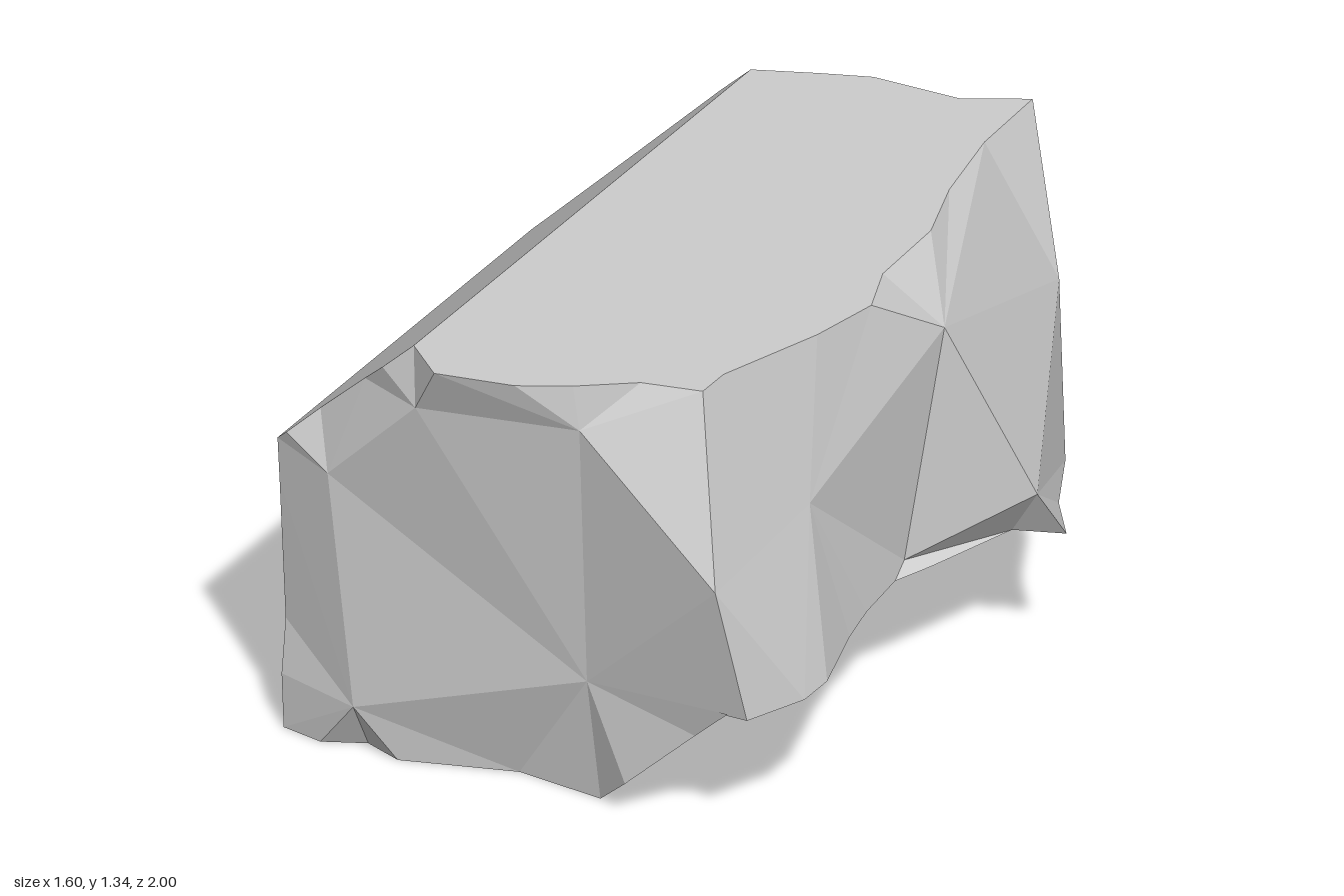
import * as THREE from 'three';

const V = (x, y, z) => new THREE.Vector3(x, y, z);

// Edges where the cut planes meet the rough faces
const top = [
  [-0.36, 0.91], [-0.24, 1], [-0.03, 0.94], [0.1, 0.86], [0.24, 0.75], [0.4, 0.7],
  [0.4, 0.6], [0.5, 0.3], [0.54, 0.1], [0.48, -0.05], [0.47, -0.3], [0.4, -0.5],
  [0.35, -0.75], [0.34, -1], [0.18, -0.9], [-0.07, -0.87], [-0.2, -0.81], [-0.36, -0.73],
].map(([x, z]) => V(x, 1.34, z));

const ledge = [
  [0.6, 0.8], [0.67, 0.63], [0.67, 0.52], [0.6, 0.3], [0.57, 0.17], [0.55, 0],
  [0.59, -0.11], [0.67, -0.38], [0.8, -0.44], [0.7, -0.56], [0.6, -0.75],
].map(([x, z]) => V(x, 0.45, z));

const base = [[-0.68, 0.86], [-0.57, 0.8], [-0.46, 0.83], [-0.16, 0.71], [0.09, 0.71], [-0.48, -0.12]]
  .map(([x, z]) => V(x, 0, z));

// Left cut: front edge downwards, then back edge upwards (y, z)
const side = [
  [0.9, 0.88], [0.77, 0.87], [0.33, 0.84], [0.17, 0.86], [0, 0.85],
  [0, -0.08], [0.26, -0.09], [0.3, -0.17], [0.43, -0.15], [0.59, -0.24], [0.73, -0.26], [0.9, -0.36],
].map(([y, z]) => V(-0.8, y, z));

// Upper bevel y = x + 1.7: front edge downwards, then back edge upwards (x, z)
const bevel = [
  [-0.45, 0.92], [-0.53, 0.88], [-0.68, 0.86], [-0.76, 0.9],
  [-0.76, -0.39], [-0.6, -0.55], [-0.45, -0.73],
].map(([x, z]) => V(x, x + 1.7, z));

// Lower slope y = x - 0.09: front edge upwards, then back edge downwards (y, z)
const slope = [
  [0.12, 0.78], [0.33, 0.77], [0.45, 0.8],
  [0.45, -0.71], [0.38, -0.65], [0.26, -0.65], [0.24, -0.34], [0.16, -0.2], [0.08, -0.1], [0, -0.06],
].map(([y, z]) => V(y + 0.09, y, z));

// Peaks and hollows of the rough faces
const f1 = V(-0.33, 1.18, 0.95), f2 = V(0.12, 1.21, 0.86), f3 = V(-0.62, 0.87, 0.92);
const f4 = V(-0.56, 0.16, 0.89), f5 = V(0.08, 0.38, 0.76), f6 = V(0.54, 0.85, 0.86);
const r1 = V(0.54, 0.89, 0.4), r2 = V(0.62, 1.18, -0.13), r3 = V(0.78, 0.62, -0.33);
const r4 = V(0.53, 0.94, -0.83), r5 = V(0.54, 0.48, -0.06);
const b1 = V(-0.66, 0.8, -0.39), b2 = V(-0.27, 1.15, -0.77), b3 = V(0.25, 0.48, -0.53);
const b4 = V(-0.08, 0.31, -0.1), b5 = V(-0.66, 0.22, -0.18);

const span = (list, from, to) => list.slice(from, to + 1);
const down = (list, from, to) => list.slice(to, from + 1).reverse();

// Triangles around a peak, anticlockwise from outside
const fan = (hub, ...ring) => ring.slice(1).flatMap((p, i) => [hub, ring[i], p]);

// Filled planar outline facing the given normal
function flat(normal, outline) {
  const turn = new THREE.Quaternion().setFromUnitVectors(normal.normalize(), V(0, 0, 1));
  const flatPoints = outline.map((p) => {
    const q = p.clone().applyQuaternion(turn);
    return new THREE.Vector2(q.x, q.y);
  });
  if (THREE.ShapeUtils.isClockWise(flatPoints)) {
    flatPoints.reverse();
    outline = [...outline].reverse();
  }
  return THREE.ShapeUtils.triangulateShape(flatPoints, []).flatMap(([a, b, c]) => {
    const n = new THREE.Triangle(outline[a], outline[b], outline[c]).getNormal(V(0, 0, 0));
    return n.dot(normal) > 0 ? [outline[a], outline[b], outline[c]] : [outline[a], outline[c], outline[b]];
  });
}

export function createModel() {
  const group = new THREE.Group();
  group.name = 'rock';
  const material = new THREE.MeshStandardMaterial({ color: 0xcccccc, flatShading: true });
  const add = (name, ...parts) => {
    const geometry = new THREE.BufferGeometry().setFromPoints(parts.flat());
    geometry.computeVertexNormals();
    const mesh = new THREE.Mesh(geometry, material);
    mesh.name = name;
    group.add(mesh);
  };

  // Flat cuts
  add('topCut', flat(V(0, 1, 0), top));
  add('baseCut', flat(V(0, -1, 0), [side[4], ...span(base, 0, 4), slope[9], base[5], side[5]]));
  add('ledgeUnderside', flat(V(0, -1, 0), [slope[2], ...ledge, slope[3]]));
  add('sideCut', flat(V(-1, 0, 0), side));
  add('upperBevel', flat(V(-1, 1, 0), [top[0], ...span(bevel, 0, 3), side[0], side[11], ...span(bevel, 4, 6), top[17]]));
  add('lowerSlope', flat(V(1, -1, 0), [base[4], ...slope]));

  // Rough faces
  add('frontFace',
    fan(f5, f4, base[3], base[4], ...span(slope, 0, 2), ledge[0], f6, f2, f1, f3, f4),
    fan(f4, f3, ...span(side, 1, 4), ...span(base, 0, 3)),
    fan(f3, f1, ...span(bevel, 1, 3), side[0], side[1]),
    fan(f1, top[1], top[0], bevel[0], bevel[1]),
    fan(f2, f6, ...down(top, 5, 1), f1));
  add('rightFace',
    fan(f6, ledge[0], ledge[1], r1),
    fan(r1, ...span(ledge, 1, 5), r5, r2, ...down(top, 8, 5), f6),
    fan(r5, ...span(ledge, 5, 7), r3, r2),
    fan(r2, r3, r4, ...down(top, 12, 8)),
    fan(r3, ...span(ledge, 7, 10), r4),
    fan(r4, top[14], top[13], top[12]));
  add('backFace',
    fan(b3, ledge[10], ...span(slope, 3, 6), b4, b1, b2, r4, ledge[10]),
    fan(b4, b3, ...span(slope, 6, 9), base[5], b5, b1, b3),
    fan(b5, base[5], ...span(side, 5, 8), b1),
    fan(b1, ...span(side, 8, 11), bevel[4], bevel[5], b2),
    fan(b2, bevel[5], bevel[6], ...down(top, 17, 14), r4));
  return group;
}
